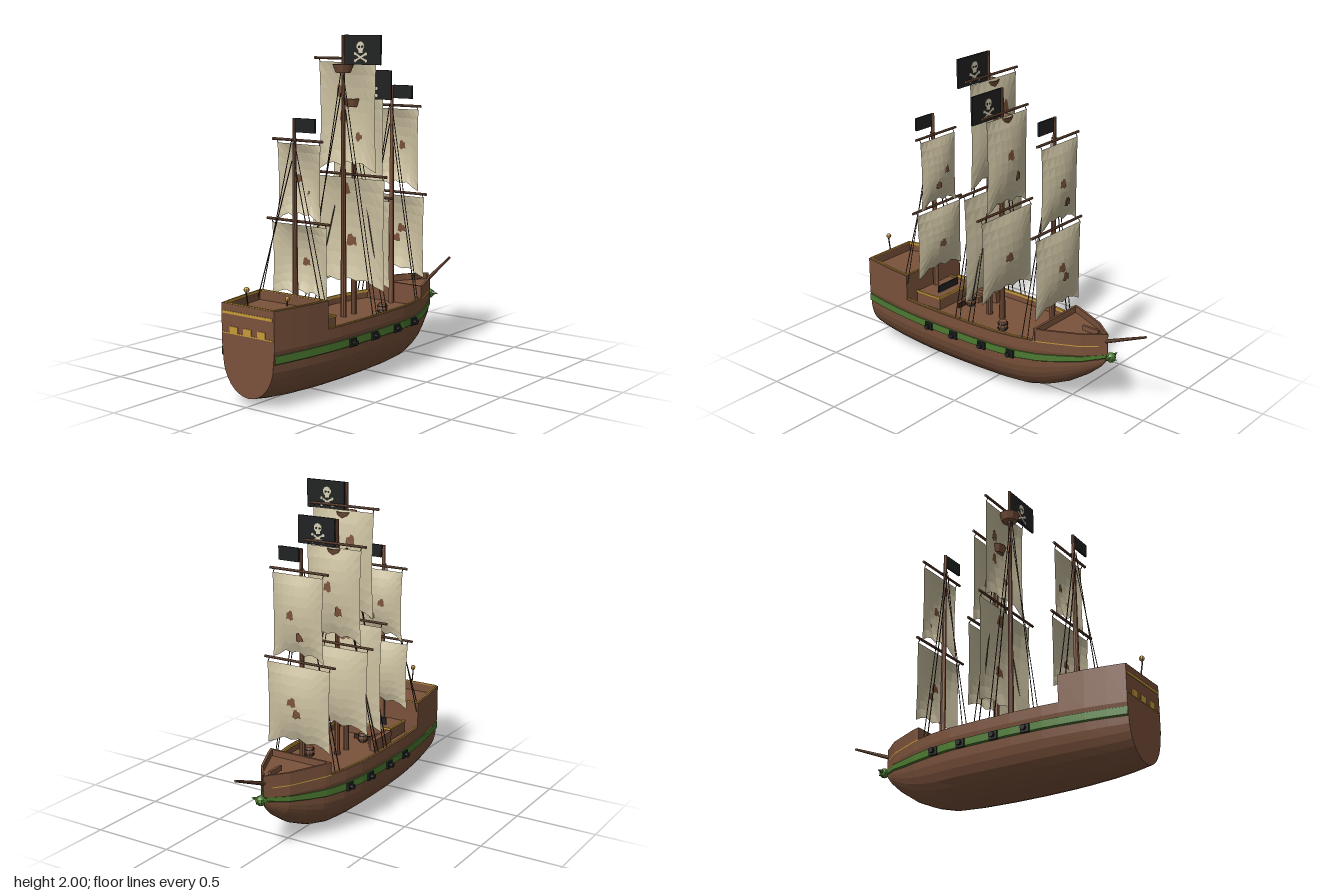
import * as THREE from 'three';

const mat = (name, color) => new THREE.MeshStandardMaterial({ name, color, flatShading: true, side: THREE.DoubleSide });
const wood = mat('brown wood', 0x7a523b), green = mat('green paint', 0x4c7a30), gold = mat('gold trim', 0xc79a3a);
const cloth = mat('sail cloth', 0xcdc2a2), black = mat('black', 0x202122), rope = mat('rope', 0x3b291d), bone = mat('bone', 0xd8d0b4);

// Hull tables: [z, rail half width, keel height]
const TABLE = [[-0.74, 0.004, 0.3], [-0.7, 0.035, 0.25], [-0.62, 0.1, 0.18], [-0.5, 0.155, 0.1], [-0.4, 0.2, 0.055],
  [-0.36, 0.213, 0.04], [-0.25, 0.243, 0.012], [-0.1, 0.265, 0.004], [0.1, 0.27, 0], [0.3, 0.27, 0], [0.5, 0.262, 0.004],
  [0.6, 0.253, 0.008], [0.75, 0.234, 0.016], [0.87, 0.213, 0.028], [0.98, 0.19, 0.045]];
const look = (z, c) => {
  let i = 1;
  while (i < TABLE.length - 1 && TABLE[i][0] < z) i++;
  const a = TABLE[i - 1], b = TABLE[i];
  return a[c] + (b[c] - a[c]) * (z - a[0]) / (b[0] - a[0]);
};
const width = z => look(z, 1), keel = z => look(z, 2);
const bowRise = z => Math.max(0, (-0.25 - z) / 0.49);
const bandLow = z => 0.26 + 0.055 * bowRise(z) ** 2;
const bandHigh = z => 0.31 + 0.03 * bowRise(z) ** 2;
const stations = (z0, z1) => [z0, ...TABLE.map(r => r[0]).filter(z => z > z0 + 0.001 && z < z1 - 0.001), z1];

// Grid surface from rows of points
function grid(rows) {
  const pos = [], idx = [], n = rows[0].length;
  rows.forEach((row, i) => row.forEach((p, j) => {
    pos.push(...p);
    if (i && j) {
      const d = i * n + j, c = d - 1, b = d - n, a = b - 1;
      idx.push(a, c, b, b, c, d);
    }
  }));
  const g = new THREE.BufferGeometry();
  g.setAttribute('position', new THREE.Float32BufferAttribute(pos, 3));
  g.setIndex(idx);
  g.computeVertexNormals();
  return g;
}

export function createModel() {
  const ship = new THREE.Group();
  ship.name = 'sailingShip';
  const add = (name, geo, m, x = 0, y = 0, z = 0, parent = ship) => {
    const mesh = new THREE.Mesh(geo, m);
    mesh.name = name;
    mesh.position.set(x, y, z);
    parent.add(mesh);
    return mesh;
  };
  const box = (name, m, w, h, d, x, y, z, parent) => add(name, new THREE.BoxGeometry(w, h, d), m, x, y, z, parent);
  const rod = (name, m, a, b, r0, r1 = r0, sides = 8) => {
    const p = new THREE.Vector3(...a), d = new THREE.Vector3(...b).sub(p);
    const mesh = add(name, new THREE.CylinderGeometry(r1, r0, d.length(), sides), m);
    mesh.position.copy(p).addScaledVector(d, 0.5);
    mesh.quaternion.setFromUnitVectors(new THREE.Vector3(0, 1, 0), d.normalize());
    return mesh;
  };
  // Side strip with a profile [inset, y or function of z]
  const sides = (name, m, z0, z1, profile) => [1, -1].forEach(s => add(name, grid(stations(z0, z1).map(z =>
    profile.map(([inset, y]) => [s * Math.max(0, width(z) - inset), typeof y === 'function' ? y(z) : y, z]))), m));
  const wall = (name, z0, z1, y1) => sides(name, wood, z0, z1,
    [[0.005, bandHigh], [0, 0.335], [0, y1], [0.016, y1], [0.016, 0.33]]);
  const deck = (name, z0, z1, y) => add(name, grid(stations(z0, z1).map(z => [[-width(z) + 0.008, y, z], [width(z) - 0.008, y, z]])), wood);

  // Hull bottom, painted band, stern plate
  add('hullBottom', grid(stations(-0.74, 0.98).map(z => Array.from({ length: 17 }, (_, i) => {
    const a = Math.PI * i / 16, b = bandLow(z);
    return [(width(z) - 0.008 * Math.min(1, width(z) / 0.1)) * Math.cos(a), b - (b - keel(z)) * Math.sin(a), z];
  }))), wood);
  sides('hullBand', green, -0.74, 0.98, [[0.008, bandLow], [-0.002, z => bandLow(z) + 0.006], [-0.002, bandHigh], [0.008, bandHigh]]);
  const stern = new THREE.Shape();
  stern.moveTo(0.19, 0.555).lineTo(0.19, 0.335).lineTo(0.182, 0.26);
  for (let i = 1; i <= 16; i++) stern.lineTo(0.182 * Math.cos(Math.PI * i / 16), 0.26 - 0.215 * Math.sin(Math.PI * i / 16));
  stern.lineTo(-0.19, 0.335).lineTo(-0.19, 0.555);
  add('sternPlate', new THREE.ExtrudeGeometry(stern, { depth: 0.014, bevelEnabled: false }), wood, 0, 0, 0.967);

  // Rails, castles and decks
  wall('mainRail', -0.36, 0.6, 0.395);
  wall('aftRail', 0.6, 0.98, 0.555);
  wall('foreRail', -0.74, -0.36, 0.47);
  deck('mainDeck', -0.36, 0.6, 0.345);
  deck('aftDeck', 0.6, 0.98, 0.5);
  deck('foreDeck', -0.74, -0.36, 0.43);
  box('aftBulkhead', wood, 0.5, 0.215, 0.014, 0, 0.4475, 0.607);
  box('foreBulkhead', wood, 0.42, 0.13, 0.014, 0, 0.405, -0.365);
  // Gold edging along the rails
  const edging = (z0, z1, y) => sides('goldEdging', gold, z0, z1, [[0.012, y - 0.006], [0.012, y + 0.004], [0.022, y + 0.004], [0.022, y - 0.012]]);
  edging(-0.38, 0.6, 0.395);
  edging(0.6, 0.98, 0.555);
  sides('bowTrim', gold, -0.7, -0.36, [[-0.001, 0.39], [-0.001, 0.396]]);
  box('aftEdging', gold, 0.47, 0.008, 0.01, 0, 0.556, 0.607);
  box('sternEdging', gold, 0.36, 0.008, 0.01, 0, 0.556, 0.972);
  // Stern decoration
  box('sternStripe', gold, 0.36, 0.016, 0.006, 0, 0.507, 0.982);
  box('sternLine', gold, 0.37, 0.007, 0.006, 0, 0.393, 0.982);
  [-0.1, 0, 0.1].forEach(x => box('sternWindow', gold, 0.058, 0.036, 0.006, x, 0.414, 0.982));

  // Cabin with gold edge and wheel stand
  box('cabin', wood, 0.31, 0.08, 0.19, 0, 0.38, 0.505);
  [-1, 1].forEach(s => box('cabinEdge', gold, 0.012, 0.01, 0.19, s * 0.155, 0.422, 0.505));
  box('cabinEdge', gold, 0.32, 0.01, 0.012, 0, 0.422, 0.415);
  box('wheelStand', black, 0.18, 0.045, 0.008, 0, 0.442, 0.48);
  box('deckBench', rope, 0.12, 0.03, 0.01, 0, 0.36, 0.34);
  for (let i = 0; i < 4; i++) box('stair', wood, 0.035, 0.018 * (4 - i), 0.2 - i * 0.045, -0.155 + i * 0.034, 0.345 + 0.009 * (4 - i), 0.3 + i * 0.022);
  // Barrels with dark hoops
  [[0.13, -0.07], [-0.02, 0.31]].forEach(([x, z]) => {
    const pts = [[0, 0], [0.024, 0], [0.031, 0.03], [0.024, 0.06], [0, 0.06]].map(p => new THREE.Vector2(...p));
    add('barrel', new THREE.LatheGeometry(pts, 10), wood, x, 0.345, z);
    [0.014, 0.046].forEach(y => add('barrelHoop', new THREE.TorusGeometry(0.029, 0.004, 5, 12).rotateX(Math.PI / 2), black, x, 0.345 + y, z));
  });
  // Lanterns
  rod('lanternPole', rope, [0, 0.54, 0.972], [0, 0.635, 0.988], 0.004);
  add('sternLantern', new THREE.SphereGeometry(0.016, 8, 6), gold, 0, 0.65, 0.985);
  rod('lanternPole', rope, [0, 0.5, 0.65], [0, 0.53, 0.65], 0.004);
  add('deckLantern', new THREE.SphereGeometry(0.014, 8, 6), gold, 0, 0.54, 0.65);

  // Bowsprit and figurehead
  rod('bowsprit', wood, [0, 0.41, -0.7], [0, 0.53, -0.997], 0.013, 0.007);
  box('bowBeam', wood, 0.016, 0.03, 0.11, 0, 0.462, -0.62);
  add('figurehead', new THREE.SphereGeometry(0.03, 8, 6), green, 0, 0.33, -0.765);
  add('figureheadSnout', new THREE.ConeGeometry(0.018, 0.04, 6).rotateX(-Math.PI / 2), green, 0, 0.325, -0.79);
  [-1, 1].forEach(s => add('figureheadFin', new THREE.ConeGeometry(0.016, 0.05, 5).rotateZ(-s * Math.PI / 2), green, s * 0.042, 0.335, -0.765));

  // Cannons
  [0.4, 0.2, -0.02, -0.22].forEach(z => [-1, 1].forEach(s => {
    const w = width(z);
    box('gunPort', black, 0.02, 0.046, 0.054, s * (w + 0.002), 0.283, z);
    rod('cannon', black, [s * w, 0.283, z], [s * (w + 0.03), 0.283, z], 0.013, 0.011);
    rod('cannonMuzzle', black, [s * (w + 0.022), 0.283, z], [s * (w + 0.033), 0.283, z], 0.017);
  }));

  // Sail: half width hw, from yBottom to yTop, bellied towards the bow
  const ragged = [0, 0.03, 0.045, 0.03, 0.055, 0.04, 0.05, 0.02, 0];
  function sail(z0, hw, yb, yt, patches) {
    const at = (u, v, off = 0) => {
      const lift = ragged[Math.max(0, Math.min(8, Math.round((u + 1) * 4)))] * (1 - v);
      const taper = hw * (1 - 0.04 * Math.sin(Math.PI * v));
      return [u * taper, yb + (yt - yb) * v + lift, z0 - 0.046 * Math.sin(Math.PI * v) ** 0.8 * (1 - 0.95 * u * u) + off];
    };
    const rows = Array.from({ length: 9 }, (_, j) => Array.from({ length: 9 }, (_, i) => at(i / 4 - 1, j / 8)));
    add('sail', grid(rows), cloth);
    // Irregular patches that follow the cloth on both faces
    patches.forEach(([u, v], k) => [-0.004, 0.004].forEach(off => {
      const outline = [[-1, -0.7], [-0.2, -1], [0.3, -0.6], [1, -0.8], [0.8, 0.5], [0.2, 0.6], [0, 1], [-0.7, 0.8]];
      const sh = new THREE.Shape(outline.map(([a, b]) => new THREE.Vector2(u + a * (k % 2 ? -0.13 : 0.15), v + b * 0.06)));
      const g = new THREE.ShapeGeometry(sh), p = g.attributes.position;
      for (let i = 0; i < p.count; i++) {
        const q = at(p.getX(i), p.getY(i), off);
        p.setXYZ(i, q[0], yb + (yt - yb) * p.getY(i), q[2]);
      }
      g.computeVertexNormals();
      add('sailPatch', g, wood);
    }));
  }

  // Flag with optional bone emblem on both faces
  function flag(w, h, top, z, emblem) {
    const g = new THREE.Group();
    g.name = 'flag';
    g.position.set(0.015 + w / 2, top - h / 2, z);
    ship.add(g);
    box('flagCloth', black, w, h, 0.012, 0, 0, 0, g);
    if (!emblem) return;
    const disc = (name, m, r, d, x, y) => add(name, new THREE.CylinderGeometry(r, r, d, 10).rotateX(Math.PI / 2), m, x, y, 0, g);
    disc('emblemHead', bone, 0.028, 0.016, -0.012, 0.02);
    box('emblemJaw', bone, 0.028, 0.018, 0.016, -0.012, -0.008, 0, g);
    [-1, 1].forEach(s => {
      disc('emblemEye', black, 0.007, 0.018, -0.012 + s * 0.011, 0.017);
      disc('emblemBoneEnd', bone, 0.009, 0.016, -0.012 + s * 0.038, -0.022);
      disc('emblemBoneEnd', bone, 0.009, 0.016, -0.012 + s * 0.038, -0.062);
      box('emblemBone', bone, 0.088, 0.011, 0.015, -0.012, -0.042, 0, g).rotation.z = s * 0.5;
    });
  }

  // Masts: z, top, sails [halfWidth, bottom, top, patches], yards follow the sails
  [
    { z: 0.58, top: 1.55, flag: [0.135, 0.078], sails: [[0.155, 0.96, 1.4, [[-0.2, 0.55], [0.25, 0.35]]], [0.2, 0.52, 0.945, [[0.1, 0.5]]]] },
    { z: 0.14, top: 2, flag: [0.255, 0.168], big: true, nest: 1.805, sails: [[0.207, 1.21, 1.84, [[-0.34, 0.73], [-0.28, 0.5], [0.3, 0.3]]], [0.27, 0.52, 1.17, [[0, 0.42], [-0.1, 0.9]]]] },
    { z: 0.04, top: 1.8, flag: [0.255, 0.168], big: true, nest: 1.605, sails: [[0.185, 1.07, 1.635, [[0.1, 0.6], [-0.3, 0.35]]], [0.235, 0.52, 1.035, [[0.15, 0.5]]]] },
    { z: -0.34, top: 1.695, flag: [0.135, 0.08], sails: [[0.17, 1.05, 1.545, [[0.15, 0.55], [-0.2, 0.3]]], [0.215, 0.52, 1.015, [[0.1, 0.58], [-0.08, 0.45]]]] },
  ].forEach(m => {
    rod('mast', wood, [0, 0.34, m.z], [0, m.top - 0.004, m.z], 0.019, 0.01, 10);
    flag(m.flag[0], m.flag[1], m.top - 0.003, m.z, m.big);
    m.sails.forEach(([hw, yb, yt, patches]) => {
      const zs = m.z - 0.037, yy = yt + 0.022;
      sail(zs, hw, yb, yt, patches);
      rod('yard', wood, [-hw - 0.025, yy, zs + 0.012], [hw + 0.025, yy, zs + 0.012], 0.008);
      rod('yardTie', rope, [0, yy, zs + 0.012], [0, yy, m.z], 0.008);
      [-1, 1].forEach(s => rod('sailLine', rope, [s * hw * 0.97, yt, zs], [s * hw * 0.97, yy, zs + 0.012], 0.003, 0.003, 4));
    });
    if (m.nest) {
      const rim = [[0, -0.024], [0.046, -0.024], [0.064, 0.024], [0.056, 0.024], [0.042, -0.016], [0, -0.016]];
      add('crowsNest', new THREE.LatheGeometry(rim.map(p => new THREE.Vector2(...p)), 10), wood, 0, m.nest, m.z);
    }
    // Shrouds down to the rail
    const peak = m.nest ? m.nest - 0.02 : m.top - 0.12;
    [0.02, 0.055].forEach((dz, i) => [-1, 1].forEach(s => rod('shroud', rope, [s * 0.008, peak - i * 0.12, m.z + 0.012],
      [s * (width(m.z + dz) - 0.012), m.z > 0.5 ? 0.5 : 0.39, m.z + dz], 0.0032, 0.0032, 4)));
  });
  return ship;
}
